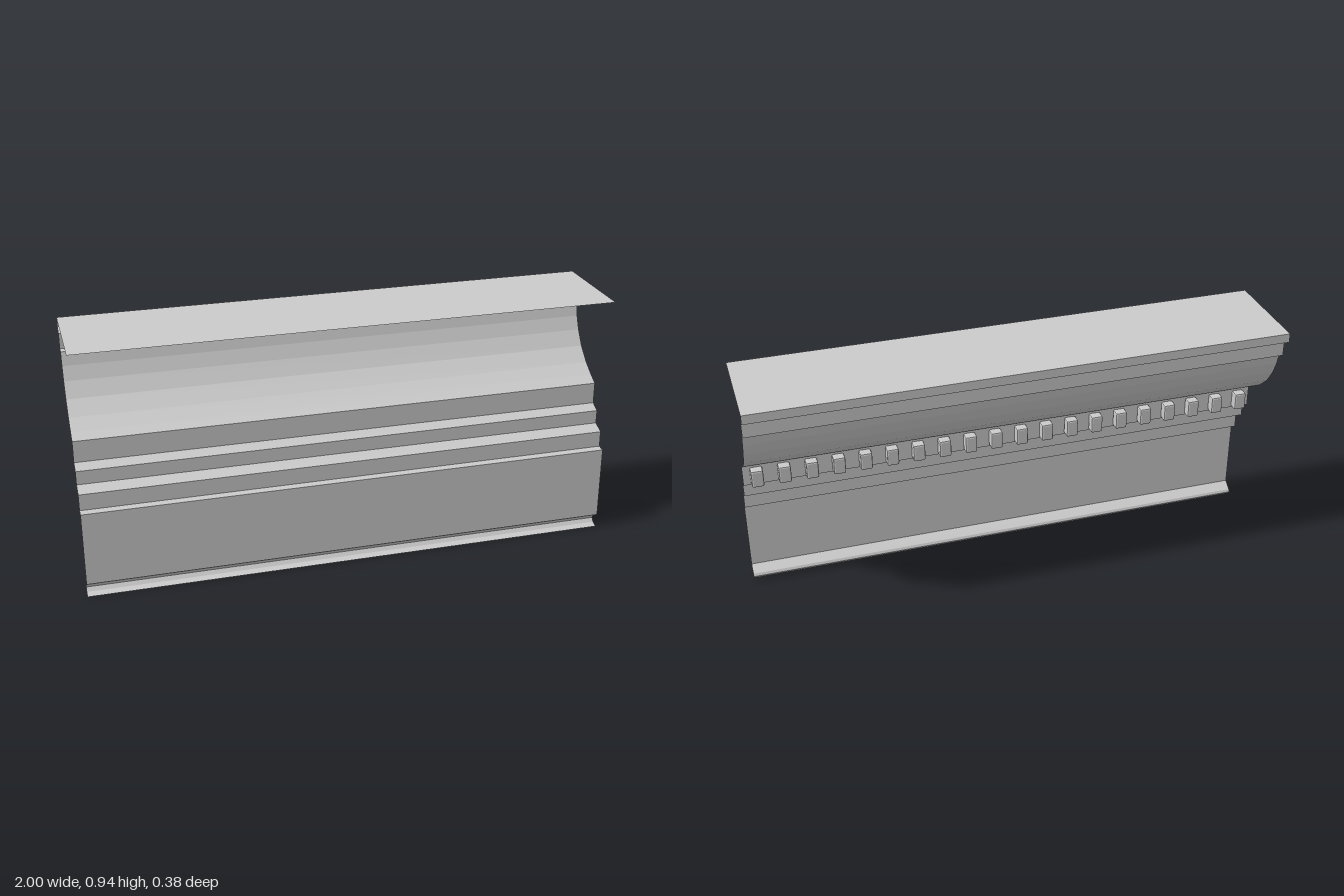
import * as THREE from 'three';
import { RoundedBoxGeometry } from 'three/addons/geometries/RoundedBoxGeometry.js';

// Sweeps an open [z, y] profile along x; the outside faces -z.
function sweepProfile(profile, length) {
  const plane = new THREE.PlaneGeometry(length, 1, 1, profile.length - 1);
  const pos = plane.attributes.position;
  for (let i = 0; i < pos.count; i++) {
    const [z, y] = profile[Math.floor(i / 2)];
    pos.setXYZ(i, -pos.getX(i), y, z);
  }
  const geometry = plane.toNonIndexed();
  geometry.computeVertexNormals();
  return geometry;
}

export function createModel() {
  const group = new THREE.Group();
  group.name = 'corniceMoulding';
  const sheetMaterial = new THREE.MeshStandardMaterial({
    color: 0xcccccc, flatShading: true, side: THREE.DoubleSide,
  });
  const blockMaterial = new THREE.MeshStandardMaterial({ color: 0xcccccc, flatShading: true });

  const addStrip = (name, profile) => {
    const mesh = new THREE.Mesh(sweepProfile(profile, 2), sheetMaterial);
    mesh.name = name;
    group.add(mesh);
  };

  // Flat top and projecting nose
  addStrip('topAndNose', [
    [0.19, 0.94], [-0.195, 0.94], [-0.195, 0.905], [-0.16, 0.89],
    [-0.16, 0.833], [-0.135, 0.83],
  ]);
  // Faceted quarter-round below the nose
  addStrip('quarterRound', [
    [-0.135, 0.83], [-0.122, 0.78], [-0.1, 0.73], [-0.063, 0.675],
    [-0.01, 0.626], [0.04, 0.593], [0.078, 0.572],
  ]);
  // Dentil band and stepped bands receding to the wall
  addStrip('steppedBands', [
    [0.078, 0.572], [0.078, 0.49], [0.115, 0.472], [0.115, 0.42],
    [0.16, 0.402], [0.16, 0.34], [0.19, 0.338],
  ]);
  addStrip('frieze', [[0.19, 0.338], [0.19, 0.055]]);
  // Small bead along the foot
  addStrip('footBead', [
    [0.19, 0.055], [0.156, 0.032], [0.151, 0.022], [0.162, 0.008], [0.185, 0],
  ]);

  // Row of bevelled dentil blocks
  const dentils = new THREE.Group();
  dentils.name = 'dentils';
  const blockGeometry = new RoundedBoxGeometry(0.045, 0.068, 0.038, 1, 0.006);
  for (let i = 0; i < 20; i++) {
    const block = new THREE.Mesh(blockGeometry, blockMaterial);
    block.name = 'dentil';
    block.position.set(-0.95 + i * 0.1, 0.531, 0.059);
    dentils.add(block);
  }
  group.add(dentils);
  return group;
}
